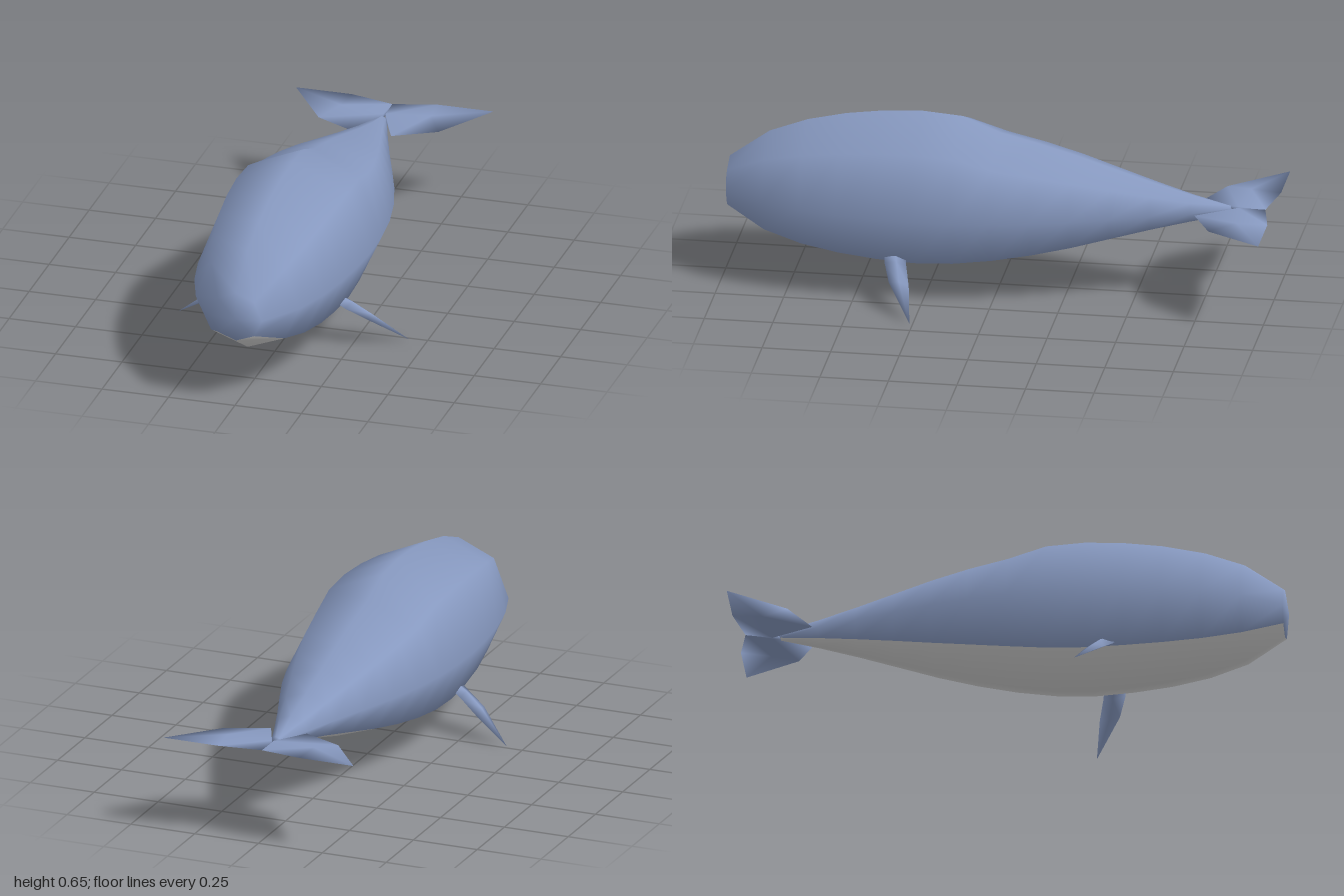
import * as THREE from 'three';

// Skin a list of rings; both ends are closed with a fan to a centre point
function loft(rings, start, end, smoothShade = true) {
  const n = rings[0].length, pos = [], faces = [];
  rings.forEach((r) => r.forEach((p) => pos.push(...p)));
  const s = rings.length * n, e = s + 1, last = (rings.length - 1) * n;
  pos.push(...start, ...end);
  for (let j = 0; j < n; j++) {
    const k = (j + 1) % n;
    faces.push({ j: -1, tri: [s, k, j] }, { j: -1, tri: [e, last + j, last + k] });
    for (let i = 0; i < rings.length - 1; i++) {
      const a = i * n + j, b = i * n + k;
      faces.push({ j, tri: [a, b, a + n, b, b + n, a + n] });
    }
  }
  const geo = new THREE.BufferGeometry();
  geo.setAttribute('position', new THREE.Float32BufferAttribute(pos, 3));
  geo.setIndex(faces.flatMap((f) => f.tri));
  geo.computeVertexNormals();
  return { geo, faces };
}

// Fin from [lead, upper, trail, lower] sections that narrow to a tip
function fin(sections, start, tip, side) {
  const flip = (p) => [p[0] * side, p[1], p[2]];
  const rings = sections.map(({ lead, mid, trail, thick }) => {
    const up = mid.map((v, i) => v + thick[i]);
    const low = mid.map((v, i) => v - thick[i]);
    const ring = [lead, low, trail, up].map(flip);
    return side > 0 ? ring : ring.reverse();
  });
  return loft(rings, flip(start), flip(tip)).geo;
}

export function createModel() {
  const whale = new THREE.Group();
  whale.name = 'whale';
  const blue = new THREE.MeshStandardMaterial({ color: 0x8799c0 });
  const grey = new THREE.MeshStandardMaterial({ color: 0xcccccc });
  const add = (name, geo, mat) => {
    const mesh = new THREE.Mesh(geo, mat);
    mesh.name = name;
    whale.add(mesh);
  };

  // Body: eight-sided rings given as z, half width, top, bottom
  const midY = 0.337;
  const profile = [
    [0.985, 0.097, 0.438, 0.25], [0.84, 0.195, 0.543, 0.163], [0.7, 0.243, 0.596, 0.117],
    [0.56, 0.272, 0.628, 0.09], [0.42, 0.289, 0.647, 0.074], [0.28, 0.298, 0.654, 0.066],
    [0.14, 0.295, 0.643, 0.074], [0, 0.282, 0.587, 0.097], [-0.14, 0.255, 0.553, 0.128],
    [-0.28, 0.215, 0.514, 0.165], [-0.42, 0.165, 0.47, 0.208], [-0.56, 0.113, 0.427, 0.25],
    [-0.7, 0.064, 0.387, 0.288], [-0.84, 0.018, 0.355, 0.32],
  ];
  const rings = profile.map(([z, w, top, bottom]) =>
    Array.from({ length: 8 }, (_, j) => {
      const a = (j * Math.PI) / 4, c = Math.cos(a);
      return [w * Math.sin(a), midY + c * (c > 0 ? top - midY : midY - bottom), z];
    }));
  const { geo, faces } = loft(rings, [0, 0.34, 1], [0, midY, -0.845]);

  // Back and belly share vertices and normals; the two lowest strips are belly
  const isBelly = (f) => f.j === 3 || f.j === 4;
  const belly = geo.clone();
  belly.setIndex(faces.filter(isBelly).flatMap((f) => f.tri));
  geo.setIndex(faces.filter((f) => !isBelly(f)).flatMap((f) => f.tri));
  add('body', geo, blue);
  add('belly', belly, grey);

  for (const side of [1, -1]) {
    const label = side > 0 ? 'left' : 'right';

    // Side flippers, angled down and back
    add(label + 'Flipper', fin([
      { lead: [0.185, 0.18, 0.395], mid: [0.185, 0.178, 0.35], trail: [0.185, 0.175, 0.315], thick: [0.006, 0.009, 0] },
      { lead: [0.23, 0.148, 0.385], mid: [0.235, 0.148, 0.34], trail: [0.235, 0.143, 0.305], thick: [0.008, 0.012, 0] },
      { lead: [0.305, 0.103, 0.358], mid: [0.305, 0.1, 0.32], trail: [0.305, 0.092, 0.285], thick: [0.007, 0.01, 0] },
    ], [0.18, 0.18, 0.35], [0.435, 0, 0.262], side), blue);

    // Tail flukes, flat and swept back
    add(label + 'Fluke', fin([
      { lead: [0.07, 0.336, -0.72], mid: [0.004, 0.34, -0.87], trail: [0, 0.347, -0.968], thick: [0, 0.01, 0] },
      { lead: [0.225, 0.34, -0.795], mid: [0.17, 0.347, -0.89], trail: [0.16, 0.352, -1], thick: [0, 0.009, 0] },
    ], [0.006, 0.34, -0.86], [0.372, 0.352, -1], side), blue);
  }
  return whale;
}
